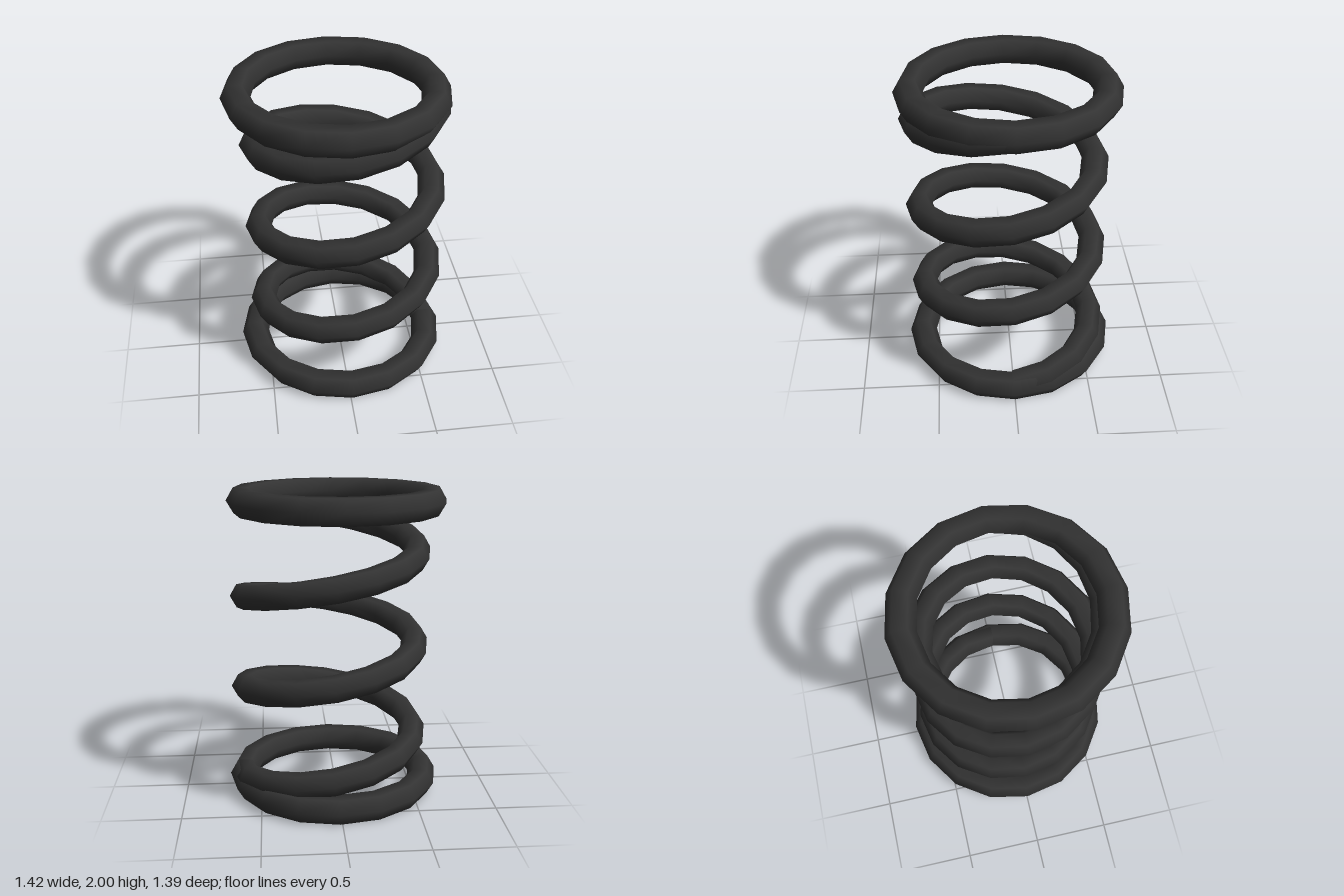
import * as THREE from 'three';

const SEG = 16;   // segments per turn
const SIDES = 6;  // hexagonal wire section

// Coil: hexagonal section swept along a rising helix, kept level with the radius
function coilGeometry(turns, y0, y1, radius, wire) {
  const steps = turns * SEG;
  const slope = Math.atan2((y1 - y0) / turns, 2 * Math.PI * radius);
  const positions = [], index = [];
  for (let i = 0; i <= steps; i++) {
    const a = (i / SEG) * Math.PI * 2;
    const y = THREE.MathUtils.lerp(y0, y1, i / steps);
    const out = new THREE.Vector3(Math.cos(a), 0, -Math.sin(a));
    const along = new THREE.Vector3(-Math.sin(a), 0, -Math.cos(a));
    // upward axis of the section, leaning back with the climb
    const up = new THREE.Vector3(0, Math.cos(slope), 0).addScaledVector(along, -Math.sin(slope));
    // the coil's axis leans very slightly
    const centre = new THREE.Vector3(0.035 - 0.01 * (y - 1), y, 0.015 + 0.0125 * (y - 1))
      .addScaledVector(out, radius);
    for (let j = 0; j < SIDES; j++) {
      const b = (j / SIDES) * Math.PI * 2;
      const p = centre.clone()
        .addScaledVector(out, Math.cos(b) * wire)
        .addScaledVector(up, Math.sin(b) * wire);
      positions.push(p.x, p.y, p.z);
      if (i < steps) {
        const k = i * SIDES + j, n = i * SIDES + (j + 1) % SIDES;
        index.push(k, k + SIDES, n, n, k + SIDES, n + SIDES);
      }
    }
  }
  const g = new THREE.BufferGeometry();
  g.setAttribute('position', new THREE.Float32BufferAttribute(positions, 3));
  g.setIndex(index);
  g.computeVertexNormals();
  return g;
}

export function createModel() {
  const group = new THREE.Group();
  group.name = 'coilSpring';
  const material = new THREE.MeshStandardMaterial({ color: 0x333333, side: THREE.DoubleSide });

  // Flat end rings
  const ringGeometry = new THREE.TorusGeometry(0.606, 0.0915, SIDES, SEG).rotateX(Math.PI / 2);
  for (const [name, x, y] of [['bottomRing', 0.0125, 0.079], ['topRing', -0.0125, 1.921]]) {
    const ring = new THREE.Mesh(ringGeometry, material);
    ring.name = name;
    ring.position.set(x, y, 0);
    group.add(ring);
  }

  // Three-turn coil joining the rings
  const coil = new THREE.Mesh(coilGeometry(3, 0.09, 1.915, 0.562, 0.086), material);
  coil.name = 'coil';
  group.add(coil);

  return group;
}
